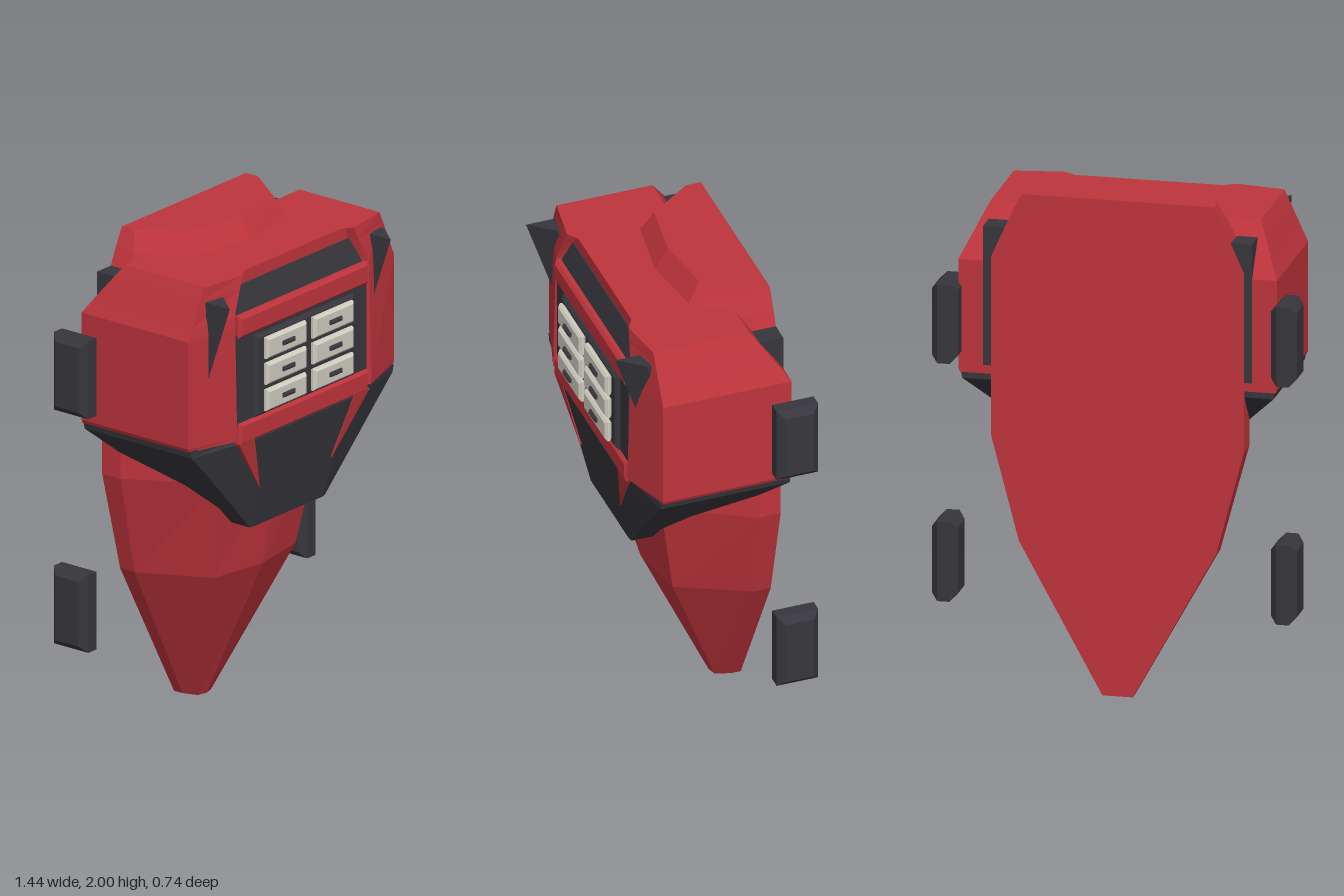
import * as THREE from 'three';
import { ConvexGeometry } from 'three/addons/geometries/ConvexGeometry.js';

const flat = (name, color, side = THREE.FrontSide) =>
  Object.assign(new THREE.MeshStandardMaterial({ color, flatShading: true, side }), { name });

// Skin a stack of mirrored half-outlines; each ring is [y, [x, z], [x, z], ...] from back to front
function loft(rings) {
  const loops = rings.map(([y, ...half]) => [
    ...half.map(([x, z]) => [x, y, z]),
    ...[...half].reverse().filter(([x]) => x > 0).map(([x, z]) => [-x, y, z]),
  ]);
  const out = [];
  const n = loops[0].length;
  const tri = (...pts) => pts.forEach((p) => out.push(...p));
  for (let r = 0; r + 1 < loops.length; r++) {
    for (let i = 0; i < n; i++) {
      const j = (i + 1) % n;
      const [a, b, c, d] = [loops[r][i], loops[r][j], loops[r + 1][i], loops[r + 1][j]];
      tri(a, c, b);
      tri(b, c, d);
    }
  }
  // end caps, fanned from the middle
  [[loops[0], false], [loops[loops.length - 1], true]].forEach(([loop, top]) => {
    const zs = loop.map((p) => p[2]);
    const mid = [0, loop[0][1], (Math.min(...zs) + Math.max(...zs)) / 2];
    for (let i = 0; i < n; i++) {
      const j = (i + 1) % n;
      if (top) tri(mid, loop[j], loop[i]);
      else tri(mid, loop[i], loop[j]);
    }
  });
  const g = new THREE.BufferGeometry();
  g.setAttribute('position', new THREE.Float32BufferAttribute(out, 3));
  g.computeVertexNormals();
  return g;
}

// Box with chamfered front and back rims, centred on the origin, depth along z
function chamferBox(w, h, d, c) {
  const x = w / 2 - c, y = h / 2 - c;
  const s = new THREE.Shape([[-x, -y], [x, -y], [x, y], [-x, y]].map((p) => new THREE.Vector2(...p)));
  const g = new THREE.ExtrudeGeometry(s, {
    depth: d - 2 * c, bevelEnabled: true, bevelSize: c, bevelThickness: c, bevelSegments: 1,
  });
  return g.translate(0, 0, c - d / 2);
}

const hull = (pts) => new ConvexGeometry(pts.map((p) => new THREE.Vector3(...p)));

export function createModel() {
  const model = new THREE.Group();
  model.name = 'model';
  const red = flat('red', 0xbe343c);
  const dark = flat('charcoal', 0x36363c);
  const darkSheet = dark;
  const cream = flat('cream', 0xcfccc0);

  const add = (name, geometry, material, x = 0, y = 0, z = 0) => {
    const m = new THREE.Mesh(geometry, material);
    m.name = name;
    m.position.set(x, y, z);
    model.add(m);
    return m;
  };

  // Long tapering inner shell with a flat back
  add('innerShell', loft([
    [0, 0.06, -0.25, 0.04, -0.19, -0.18],
    [0.6, 0.39, -0.22, 0.25, 0.06, 0.10],
    [1.02, 0.50, -0.20, 0.31, 0.13, 0.165],
    [1.74, 0.50, -0.20, 0.33, 0.10, 0.14],
    [1.92, 0.42, -0.20, 0.27, 0.0, 0.04],
    [2.0, 0.38, -0.23, 0.25, -0.05, -0.015],
  ].map(([y, w, zs, xm, zm, zf]) => [y, [w, -0.291], [w, zs], [xm, zm], [0, zf]])), red);

  // Wide upper housing with a recessed middle front
  add('housing', loft([
    [1.265, 0.623, -0.288, 0.238, 0.41, 0.305, 0.285],
    [1.28, 0.63, -0.288, 0.24, 0.41, 0.305, 0.285],
    [1.72, 0.63, -0.288, 0.24, 0.41, 0.295, 0.28],
    [1.77, 0.606, -0.255, 0.241, 0.41, 0.292, 0.275],
    [1.87, 0.559, -0.185, 0.244, 0.363, 0.28, 0.245],
    [1.92, 0.535, -0.15, 0.245, 0.34, 0.275, 0.245],
  ].map(([y, w, zb, zs, xf, zf, zc]) => [y, [w, zb], [w, zs], [xf, zf], [xf - 0.02, zc]])), red);

  // Dark collar narrowing below the housing
  add('collar', loft([
    [0.84, 0.23, 0.13, 0.22, 0.21, 0.225],
    [0.92, 0.305, 0.13, 0.226, 0.228, 0.241],
    [1.02, 0.40, 0.04, 0.233, 0.25, 0.26],
    [1.13, 0.505, -0.20, 0.24, 0.275, 0.282],
    [1.24, 0.615, -0.285, 0.245, 0.30, 0.303],
    [1.27, 0.622, -0.285, 0.245, 0.30, 0.29],
  ].map(([y, w, zb, zs, xf, zf]) => [y, [w, zb], [w, zs], [xf, zf]])), dark);

  // Sloping dark vent above the cabinet
  add('vent', hull([-1, 1].flatMap((s) => [
    [s * 0.385, 1.77, 0.28], [s * 0.345, 1.87, 0.25],
    [s * 0.385, 1.77, 0.272], [s * 0.345, 1.87, 0.242],
  ])), darkSheet);

  // Cabinet back panel, raised inner panel and red rails
  add('cabinetPanel', new THREE.BoxGeometry(0.79, 0.37, 0.02), dark, 0, 1.505, 0.285);
  add('cabinetInner', chamferBox(0.61, 0.335, 0.03, 0.012), dark, 0, 1.5, 0.299);
  for (const y of [1.285, 1.725]) add('rail', chamferBox(0.79, 0.09, 0.05, 0.012), red, 0, y, 0.284);

  // Six drawers with dark handles
  for (const x of [-0.144, 0.144]) {
    for (const y of [1.398, 1.506, 1.612]) {
      add('drawer', chamferBox(0.245, 0.088, 0.03, 0.01), cream, x, y, 0.327);
      add('drawerHandle', chamferBox(0.072, 0.018, 0.018, 0.006), dark, x, y, 0.346);
    }
  }

  // Slanted front wedges, both turned the same way
  for (const x of [-0.535, 0.45]) {
    add('frontWedge', hull([
      [0, 1.86, 0.37], [0.083, 1.86, 0.27], [0.083, 1.86, 0.2], [0, 1.86, 0.2],
      [0, 1.5, 0.247], [0, 1.5, 0.2], [0.083, 1.65, 0.2],
    ]), dark, x);
  }

  for (const s of [-1, 1]) {
    // Red fang over the collar
    add('fang', hull([
      [s * 0.4, 1.25, 0.307], [s * 0.305, 1.25, 0.307], [s * 0.22, 1.01, 0.264],
      [s * 0.4, 1.25, 0.24], [s * 0.305, 1.25, 0.24], [s * 0.22, 1.01, 0.22],
    ]), red);

    // Rear strap block
    add('rearStrap', new THREE.BoxGeometry(0.083, 0.56, 0.1), dark, s * 0.49, 1.58, -0.24);

    // Chamfered side blocks, upper and lower
    for (const y of [1.48, 0.52]) {
      add('sideBlock', chamferBox(0.17, 0.32, 0.103, 0.027).rotateY(Math.PI / 2), dark, s * 0.67, y, -0.287);
    }
  }

  return model;
}
